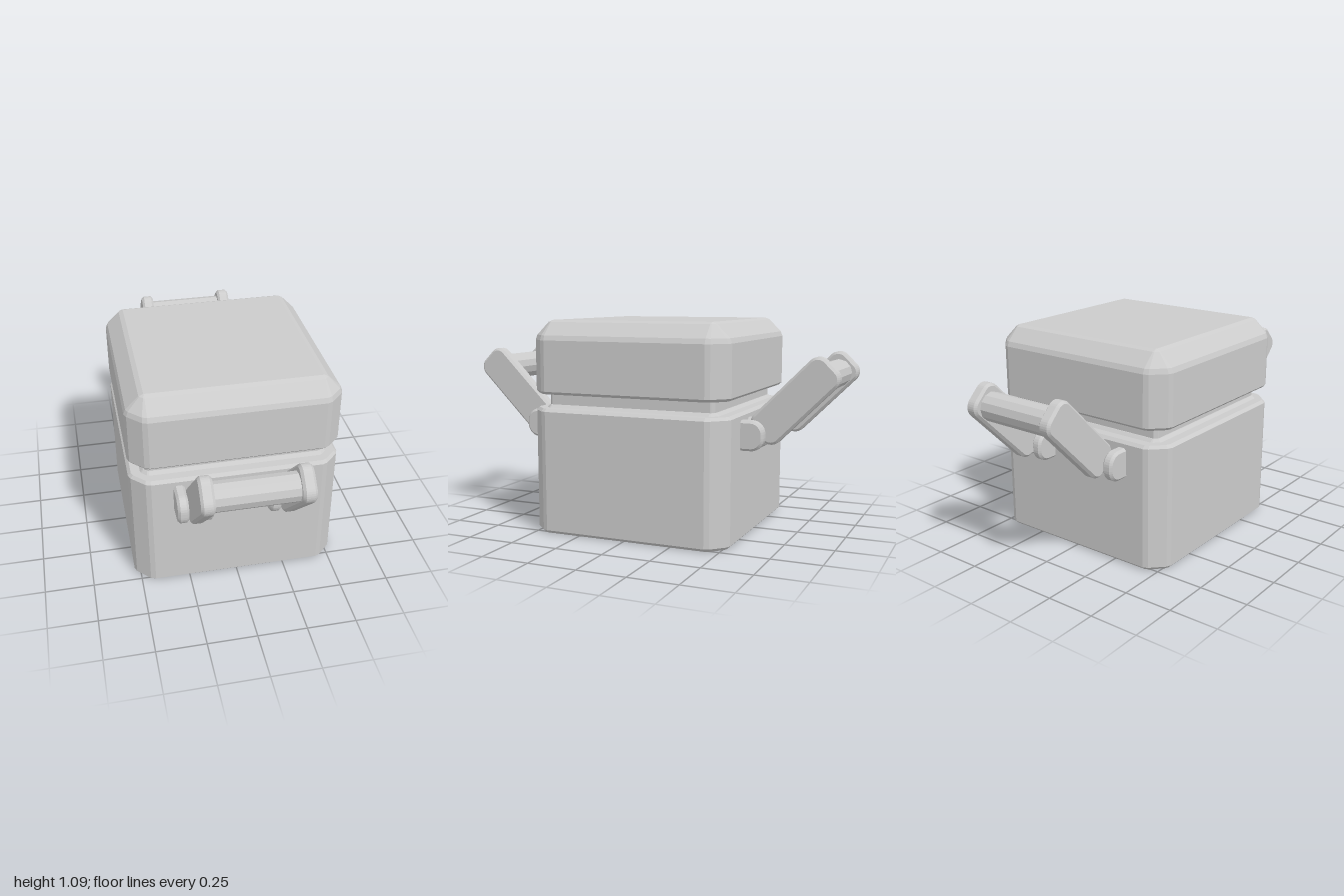
import * as THREE from 'three';

const material = new THREE.MeshStandardMaterial({ color: 0xcccccc, flatShading: true });

function add(parent, name, geometry) {
  const mesh = new THREE.Mesh(geometry, material);
  mesh.name = name;
  parent.add(mesh);
  return mesh;
}

// Outline of a square with bevelled corners, grown outward from a fixed core
const CORE = 0.43;
const CORNER = [[1, 0], [0.9, 0.25], [0.25, 0.9], [0, 1]];

function outline(half) {
  const r = half - CORE;
  const points = [];
  for (let q = 0; q < 4; q++) {
    const c = Math.round(Math.cos(q * Math.PI / 2)), s = Math.round(Math.sin(q * Math.PI / 2));
    for (const [a, b] of CORNER) {
      const x = CORE + a * r, z = CORE + b * r;
      points.push([x * c - z * s, x * s + z * c]);
    }
  }
  return points;
}

// Solid from [half width, height] steps listed from bottom to top
function squareLoft(profile) {
  const positions = [], index = [], n = 16;
  for (const [half, y] of profile) {
    for (const [x, z] of outline(half)) positions.push(x, y, z);
  }
  const last = (profile.length - 1) * n, bottom = profile.length * n, top = bottom + 1;
  positions.push(0, profile[0][1], 0, 0, profile[profile.length - 1][1], 0);
  for (let i = 0; i < n; i++) {
    const k = (i + 1) % n;
    for (let j = 0; j < last; j += n) {
      index.push(j + i, j + n + i, j + k, j + k, j + n + i, j + n + k);
    }
    index.push(bottom, i, k, top, last + k, last + i);
  }
  const indexed = new THREE.BufferGeometry();
  indexed.setAttribute('position', new THREE.Float32BufferAttribute(positions, 3));
  indexed.setIndex(index);
  const geometry = indexed.toNonIndexed();
  geometry.computeVertexNormals();
  return geometry;
}

// Round-cornered plate standing in the z-y plane, centred on the origin
function plate(length, height, radius, thickness) {
  const a = length / 2, b = height / 2, r = radius;
  const shape = new THREE.Shape();
  shape.absarc(a - r, b - r, r, 0, Math.PI / 2);
  shape.absarc(-a + r, b - r, r, Math.PI / 2, Math.PI);
  shape.absarc(-a + r, -b + r, r, Math.PI, Math.PI * 1.5);
  shape.absarc(a - r, -b + r, r, Math.PI * 1.5, Math.PI * 2);
  const bevel = 0.012;
  return new THREE.ExtrudeGeometry(shape, {
    depth: thickness - 2 * bevel, curveSegments: 4, bevelEnabled: true,
    bevelThickness: bevel, bevelSize: bevel, bevelOffset: -bevel, bevelSegments: 1,
  }).translate(0, 0, bevel - thickness / 2);
}

// Swinging handle: two slanted arms, a grip bar and paired hinge lugs
function createHandle(name, lugReach) {
  const handle = new THREE.Group();
  handle.name = name;
  for (const side of [-1, 1]) {
    const x = side * 0.227;
    const arm = add(handle, 'handleArm',
      plate(0.5, 0.18, 0.055, 0.065).rotateZ(Math.PI / 4).rotateY(-Math.PI / 2));
    arm.position.set(x, 0.707, 0.778);
    for (const offset of [-0.06, 0.06]) {
      const length = lugReach - 0.45;
      const lug = add(handle, 'hingeLug', plate(length, 0.15, 0.065, 0.055).rotateY(-Math.PI / 2));
      lug.position.set(x + offset, 0.535, 0.45 + length / 2);
    }
  }
  const bar = add(handle, 'gripBar',
    new THREE.CylinderGeometry(0.071, 0.071, 0.42, 12).rotateZ(Math.PI / 2));
  bar.position.set(0, 0.815, 0.894);
  return handle;
}

export function createModel() {
  const model = new THREE.Group();
  model.name = 'handledBox';

  // Lower box with a raised neck
  add(model, 'body', squareLoft([
    [0.515, 0], [0.53, 0.015], [0.53, 0.63], [0.515, 0.645],
    [0.47, 0.645], [0.455, 0.66], [0.45, 0.66], [0.45, 0.73],
  ]));

  // Lid with broad chamfers on top
  add(model, 'lid', squareLoft([
    [0.515, 0.718], [0.53, 0.732], [0.53, 0.99], [0.52, 1.015],
    [0.455, 1.08], [0.432, 1.09],
  ]));

  // One handle on the front and one on the back
  const front = createHandle('frontHandle', 0.675);
  front.position.x = -0.008;
  const back = createHandle('backHandle', 0.645);
  back.rotation.y = Math.PI;
  back.position.x = -0.018;
  model.add(front, back);
  return model;
}
